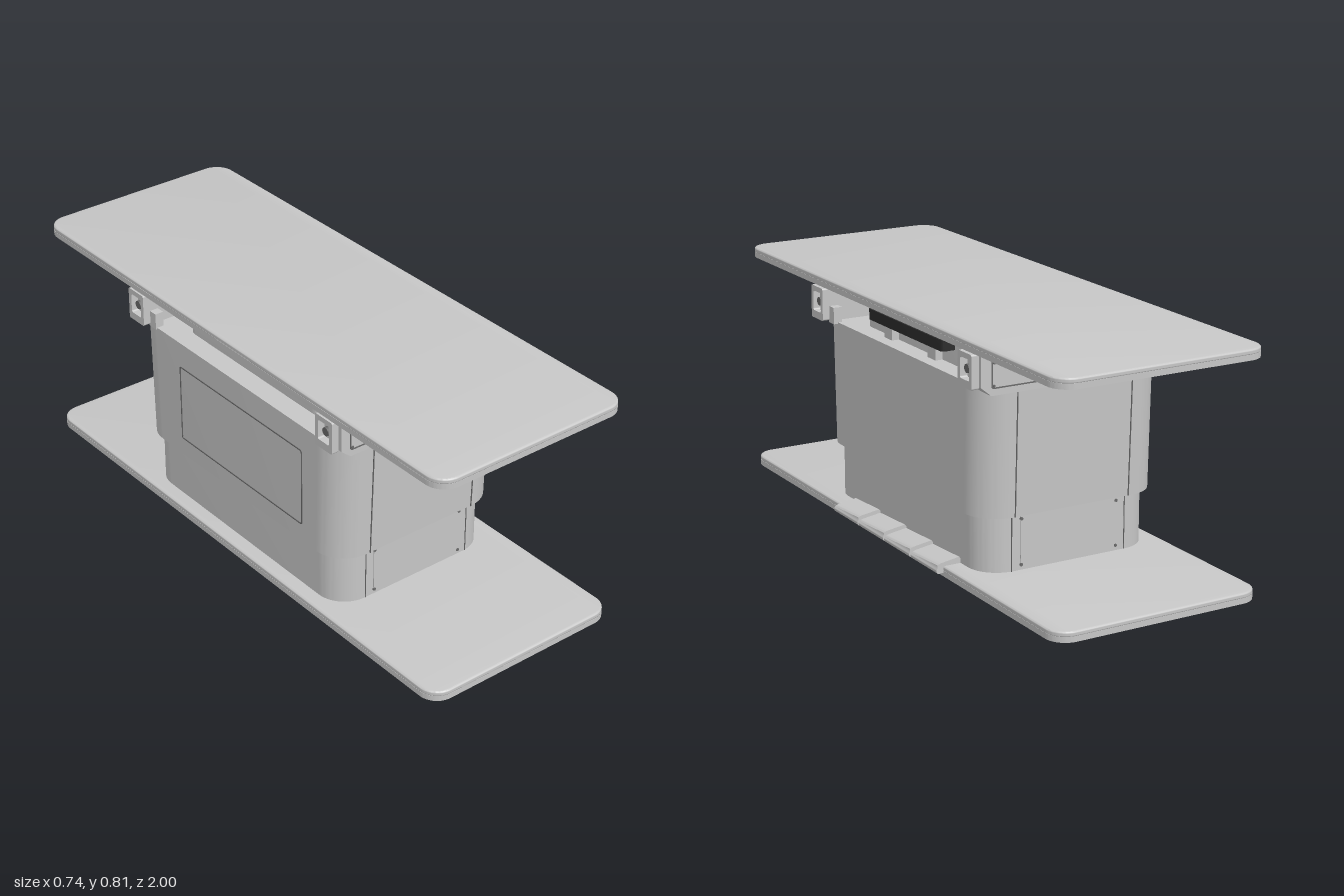
import * as THREE from 'three';
import { toCreasedNormals } from 'three/addons/utils/BufferGeometryUtils.js';

const grey = new THREE.MeshStandardMaterial({ color: 0xc6c6c6 });
grey.name = 'light grey enamel';
const dark = new THREE.MeshStandardMaterial({ color: 0x2a2a2a });
dark.name = 'black rubber';
const seam = new THREE.MeshStandardMaterial({ color: 0x6a6a6a });
seam.name = 'seam grey';

export function createModel() {
  const model = new THREE.Group();

  function add(name, geometry, material, parent = model) {
    const mesh = new THREE.Mesh(geometry, material);
    mesh.name = name;
    parent.add(mesh);
    return mesh;
  }

  // Box given by its limits on each axis
  function box(name, x0, x1, y0, y1, z0, z1, material = grey, parent = model) {
    const mesh = add(name, new THREE.BoxGeometry(x1 - x0, y1 - y0, z1 - z0), material, parent);
    mesh.position.set((x0 + x1) / 2, (y0 + y1) / 2, (z0 + z1) / 2);
    return mesh;
  }

  // Rounded rectangle outline
  function roundRect(path, x0, x1, y0, y1, r) {
    path.moveTo(x0 + r, y0);
    path.lineTo(x1 - r, y0).absarc(x1 - r, y0 + r, r, -Math.PI / 2, 0);
    path.lineTo(x1, y1 - r).absarc(x1 - r, y1 - r, r, 0, Math.PI / 2);
    path.lineTo(x0 + r, y1).absarc(x0 + r, y1 - r, r, Math.PI / 2, Math.PI);
    path.lineTo(x0, y0 + r).absarc(x0 + r, y0 + r, r, Math.PI, Math.PI * 1.5);
    return path;
  }

  // Upright extrusion of a rounded rectangle; rim > 0 leaves an open frame
  function slab(x0, x1, z, y0, y1, r, { bevel = 0, rim = 0 } = {}) {
    const b = bevel;
    const shape = roundRect(new THREE.Shape(), x0 + b, x1 - b, -z + b, z - b, r - b);
    if (rim) shape.holes.push(roundRect(new THREE.Path(), x0 + rim, x1 - rim, -z + rim, z - rim, Math.max(r - rim, 0.02)));
    const g = new THREE.ExtrudeGeometry(shape, {
      depth: y1 - y0 - 2 * b, bevelEnabled: b > 0, bevelSize: b, bevelThickness: b, bevelSegments: 3, curveSegments: 10,
    });
    g.rotateX(-Math.PI / 2).translate(0, y0 + b, 0);
    return toCreasedNormals(g, 0.6);
  }

  // Thin rectangular outline on a wall facing +z
  function outline(x0, x1, y0, y1) {
    const t = 0.004;
    const shape = roundRect(new THREE.Shape(), x0, x1, y0, y1, 0.008);
    shape.holes.push(roundRect(new THREE.Path(), x0 + t, x1 - t, y0 + t, y1 - t, 0.006));
    return new THREE.ExtrudeGeometry(shape, { depth: 0.002, bevelEnabled: false });
  }

  // Small round bolt head facing +z
  function bolt(x, y, z, r, parent) {
    const g = new THREE.CylinderGeometry(r, r, 0.006, 16).rotateX(Math.PI / 2);
    add('bolt', g, seam, parent).position.set(x, y, z);
  }

  // Base plate and table top: shallow upturned trays
  for (const [name, y] of [['basePlate', 0.025], ['tableTop', 0.77]]) {
    const tray = new THREE.Group();
    tray.name = name;
    tray.position.y = y;
    model.add(tray);
    add('sheet', slab(-0.37, 0.345, 1, 0.017, 0.035, 0.065, { bevel: 0.006 }), grey, tray);
    add('rim', slab(-0.37, 0.345, 1, 0.002, 0.02, 0.065, { rim: 0.022 }), grey, tray);
    add('innerLedge', slab(-0.305, 0.28, 0.92, 0.007, 0.018, 0.03, { rim: 0.015 }), grey, tray);
    for (const x of [-0.345, 0.32])
      for (const z of [-0.9, 0.9])
        box('rimFoot', x - 0.008, x + 0.008, -0.003, 0.01, z - 0.02, z + 0.02, grey, tray);
  }

  // Rubber foot and base column
  add('floorPad', slab(-0.26, 0.28, 0.24, 0, 0.043, 0.02), dark);
  add('lowerColumn', slab(-0.32, 0.285, 0.495, 0.055, 0.25, 0.1), grey);

  // Upper sleeve, widening slightly towards the top along z
  const sleeve = slab(-0.34, 0.305, 0.515, 0.24, 0.655, 0.11);
  const p = sleeve.attributes.position;
  for (let i = 0; i < p.count; i++) p.setZ(i, p.getZ(i) * (1 + 0.025 * (p.getY(i) - 0.24) / 0.415));
  add('upperSleeve', toCreasedNormals(sleeve, 0.6), grey);

  // Access panel on the right wall of the sleeve
  const sidePanel = add('sidePanelOutline', outline(-0.29, 0.34, 0.3, 0.57), seam);
  sidePanel.rotation.y = -Math.PI / 2;
  sidePanel.position.x = -0.34;

  // Head of the column with the tilting mount under the top
  add('columnHead', slab(-0.27, 0.24, 0.34, 0.65, 0.755, 0.04), grey);
  add('mountPad', slab(-0.2, 0.285, 0.24, 0.702, 0.737, 0.015), dark);
  add('mountNeck', slab(-0.18, 0.27, 0.2, 0.73, 0.79, 0.015), dark);
  for (const z of [-0.14, 0.14]) box('mountNub', 0.2, 0.265, 0.65, 0.697, z - 0.025, z + 0.025);

  // Details of each end, front and back
  for (const turn of [1, -1]) {
    const end = new THREE.Group();
    end.name = turn > 0 ? 'frontEnd' : 'backEnd';
    end.scale.z = turn;
    model.add(end);

    // Seams beside the corner pillars
    for (const x of [-0.216, 0.191]) {
      box('lowerSeam', x - 0.0015, x + 0.0015, 0.06, 0.24, 0.49, 0.4965, seam, end);
      const s = box('upperSeam', x - 0.0015, x + 0.0015, 0.24, 0.64, 0.516, 0.524, seam, end);
      s.rotation.x = 0.031;
    }

    // Lower cover with bolts
    box('lowerCover', -0.185, 0.16, 0.07, 0.235, 0.49, 0.498, grey, end);
    for (const x of [-0.183, 0.158])
      for (const y of [0.078, 0.225]) bolt(x, y, 0.498, 0.005, end);

    // Cross beam with chamfered lower corners
    const beam = new THREE.Shape([
      [-0.345, 0.765], [-0.345, 0.665], [-0.31, 0.636], [0.285, 0.636], [0.32, 0.665], [0.32, 0.765],
    ].map(([x, y]) => new THREE.Vector2(x, y)));
    add('crossBeam', new THREE.ExtrudeGeometry(beam, { depth: 0.093, bevelEnabled: false }).translate(0, 0, 0.44), grey, end);
    add('beamCoverOutline', outline(-0.312, 0.285, 0.657, 0.743).translate(0, 0, 0.533), seam, end);
    for (const x of [-0.303, 0.276])
      for (const y of [0.666, 0.735]) bolt(x, y, 0.533, 0.004, end);

    // Beam ends: framed block with a pivot bolt
    for (const [x, dir] of [[-0.345, -1], [0.32, 1]]) {
      const frame = roundRect(new THREE.Shape(), -0.04, 0.04, 0.657, 0.765, 0.006);
      frame.holes.push(roundRect(new THREE.Path(), -0.026, 0.026, 0.682, 0.748, 0.006));
      const g = new THREE.ExtrudeGeometry(frame, { depth: 0.025, bevelEnabled: false });
      const block = add('beamEnd', g.rotateY(dir * Math.PI / 2), grey, end);
      block.position.set(x, 0, 0.48);
      const pivot = add('pivotBolt', new THREE.CylinderGeometry(0.014, 0.014, 0.02, 20).rotateZ(Math.PI / 2), seam, end);
      pivot.position.set(x + dir * 0.008, 0.715, 0.48);
      const x2 = x - dir * 0.03;
      box('beamBracket', Math.min(x, x2), Math.max(x, x2), 0.65, 0.705, 0.41, 0.445, grey, end);
      // Spacer carrying the table top
      const s = x - dir * 0.045;
      box('topSpacer', s - 0.03, s + 0.03, 0.76, 0.79, 0.45, 0.51, grey, end);
    }
  }

  // Four foot pedals along the left edge of the base
  const pedal = new THREE.Shape();
  pedal.moveTo(0.27, 0.055);
  pedal.lineTo(0.335, 0.04).lineTo(0.362, 0.038);
  pedal.quadraticCurveTo(0.37, 0.04, 0.37, 0.05);
  pedal.quadraticCurveTo(0.368, 0.06, 0.35, 0.063);
  pedal.lineTo(0.29, 0.072);
  for (let i = 0; i < 4; i++) {
    const g = new THREE.ExtrudeGeometry(pedal, { depth: 0.165, bevelEnabled: false });
    // Each tread rises gently towards the back
    const q = g.attributes.position;
    for (let k = 0; k < q.count; k++) if (q.getZ(k) < 0.01 && q.getY(k) > 0.056) q.setY(k, q.getY(k) + 0.009);
    add('footPedal', toCreasedNormals(g, 0.6), grey).position.z = -0.35 + i * 0.173;
  }

  return model;
}
